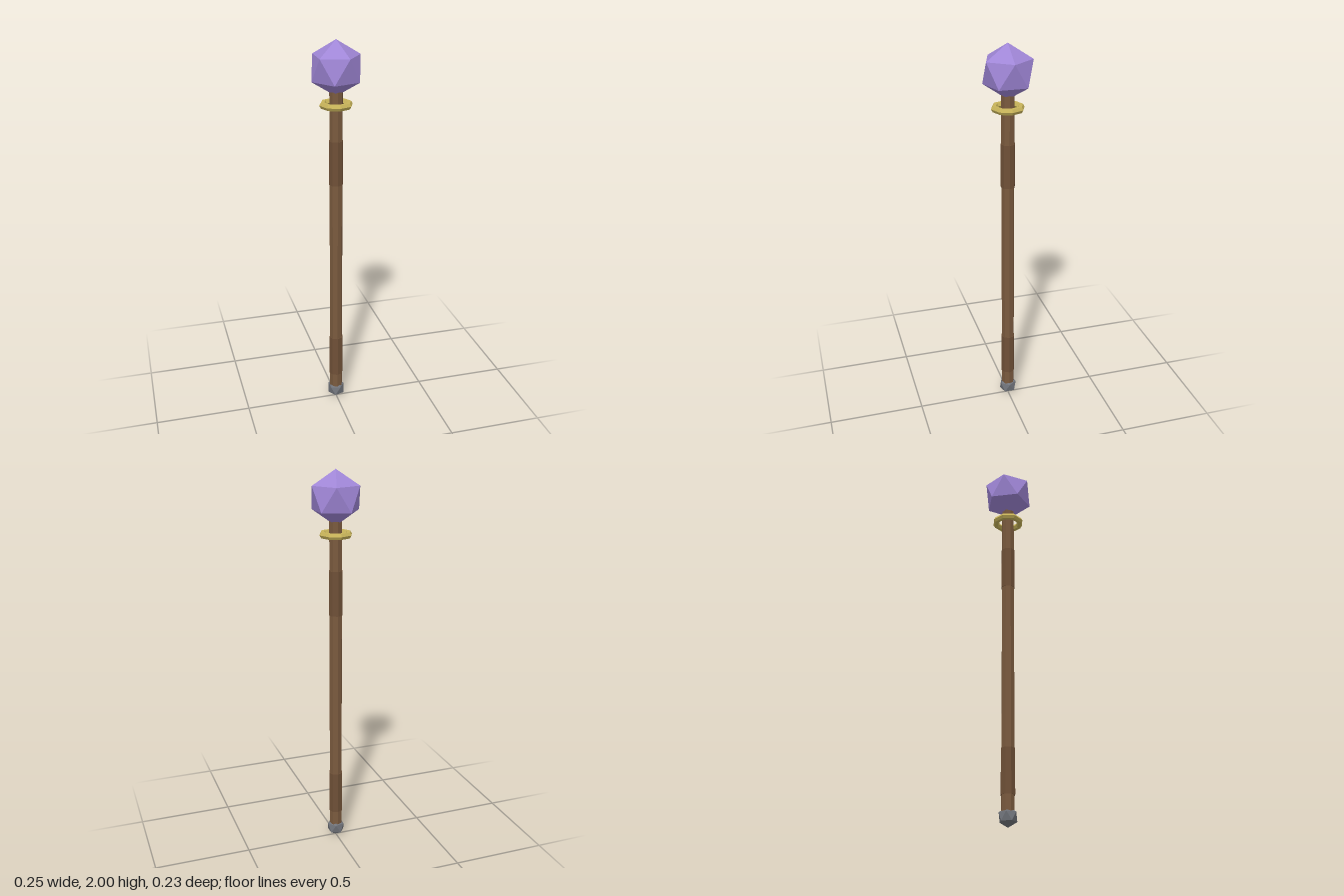
import * as THREE from 'three';

export function createModel() {
  const group = new THREE.Group();
  group.name = 'staff';

  const material = (color) => new THREE.MeshStandardMaterial({ color, flatShading: true });
  const wood = material(0x7a5a3e);
  const wrap = material(0x6f5037);
  const gold = material(0xc8b45a);
  const crystal = material(0x9f86d6);
  const iron = material(0x70737a);

  const add = (name, geometry, mat, y) => {
    const mesh = new THREE.Mesh(geometry, mat);
    mesh.name = name;
    mesh.position.y = y;
    group.add(mesh);
    return mesh;
  };

  // Icosahedron standing on one corner, with an upper corner towards +x
  const tilt = Math.atan2(1, (1 + Math.sqrt(5)) / 2);
  const gem = (radius) => new THREE.IcosahedronGeometry(radius, 0).rotateZ(-tilt);

  // Eight-sided shaft running from the foot into the orb
  add('shaft', new THREE.CylinderGeometry(0.034, 0.034, 1.71, 8), wood, 0.905);

  // Slightly thicker grips near both ends
  add('upperGrip', new THREE.CylinderGeometry(0.037, 0.037, 0.23, 8), wrap, 1.387);
  add('lowerGrip', new THREE.CylinderGeometry(0.037, 0.037, 0.23, 8), wrap, 0.27);

  // Floating collar ring below the orb
  add('collarRing', new THREE.TorusGeometry(0.068, 0.017, 6, 8).rotateX(Math.PI / 2), gold, 1.684);

  // Faceted orb and foot
  add('orb', gem(0.137), crystal, 1.863);
  add('foot', gem(0.05), iron, 0.05);

  return group;
}
